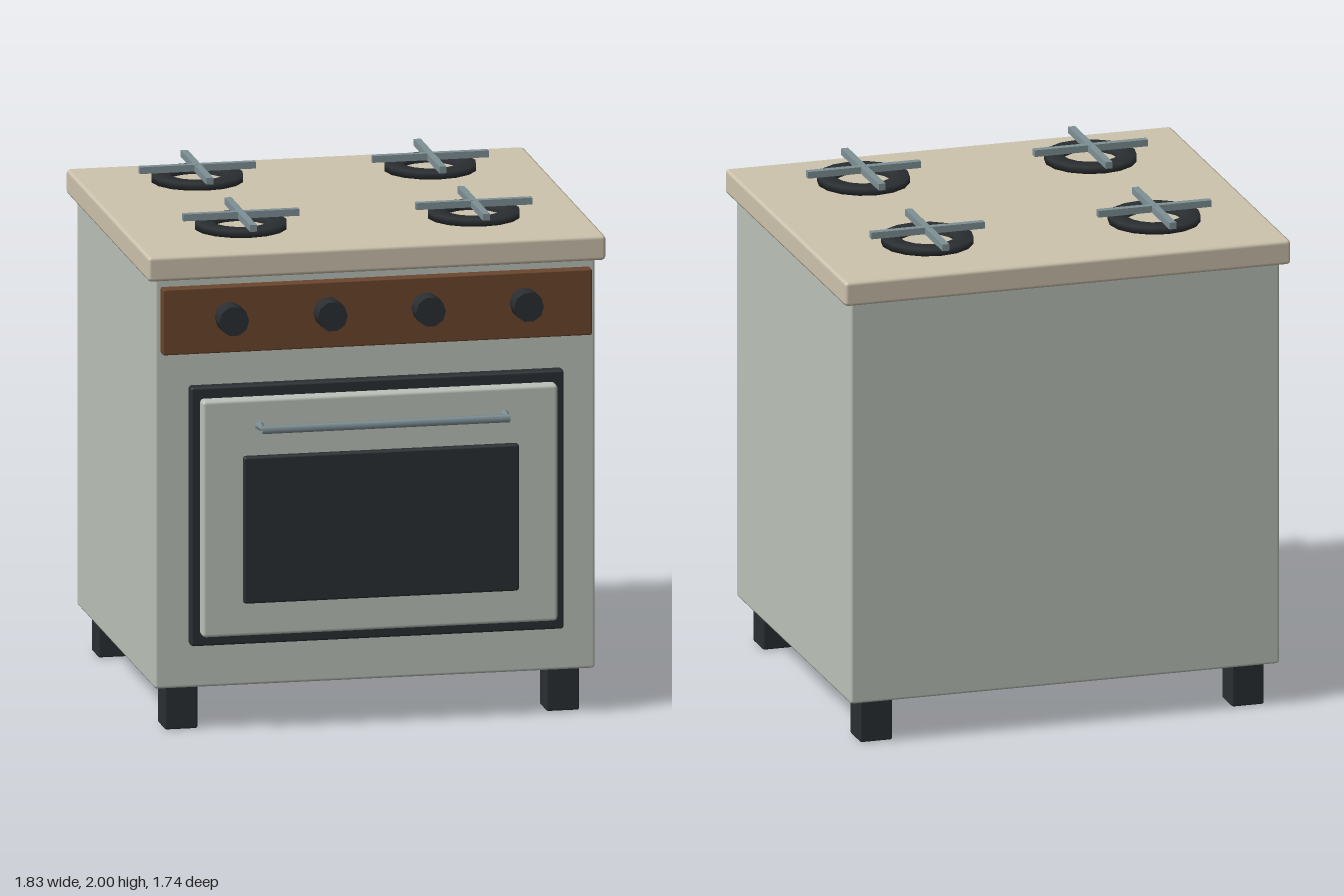
import * as THREE from 'three';
import { RoundedBoxGeometry } from 'three/addons/geometries/RoundedBoxGeometry.js';

const mat = (color) => new THREE.MeshStandardMaterial({ color });

export function createModel() {
  const model = new THREE.Group();
  model.name = 'stove';
  const enamel = mat(0xbcc3ba), cream = mat(0xcec4ae), wood = mat(0x6b452c);
  const dark = mat(0x2b2f32), steel = mat(0x7f9196);

  const add = (name, geometry, material, x = 0, y = 0, z = 0, parent = model) => {
    const mesh = new THREE.Mesh(geometry, material);
    mesh.name = name;
    mesh.position.set(x, y, z);
    parent.add(mesh);
    return mesh;
  };
  // Softly bevelled box given by its limits on each axis
  const block = (name, material, [x0, x1], [y0, y1], [z0, z1], bevel = 0.01) =>
    add(name, new RoundedBoxGeometry(x1 - x0, y1 - y0, z1 - z0, 1, bevel), material,
      (x0 + x1) / 2, (y0 + y1) / 2, (z0 + z1) / 2);

  // Cabinet and worktop
  block('body', enamel, [-0.88, 0.88], [0.175, 1.825], [-0.83, 0.65], 0.012);
  block('cooktop', cream, [-0.915, 0.915], [1.82, 1.92], [-0.87, 0.69], 0.015);

  // Feet
  for (const x of [-0.765, 0.76]) {
    for (const z of [-0.717, 0.54]) {
      block('foot', dark, [x - 0.066, x + 0.066], [0, 0.18], [z - 0.067, z + 0.067], 0.008);
    }
  }

  // Control panel with four knobs
  block('controlPanel', wood, [-0.857, 0.857], [1.525, 1.79], [0.64, 0.698], 0.006);
  const knobGeometry = new THREE.CylinderGeometry(0.06, 0.06, 0.1, 10);
  knobGeometry.rotateY(Math.PI / 2);
  knobGeometry.rotateX(Math.PI / 2);
  for (const x of [-0.592, -0.198, 0.194, 0.586]) {
    add('knob', knobGeometry, dark, x, 1.67, 0.738);
  }

  // Oven door in layers
  block('doorFrame', dark, [-0.745, 0.745], [0.35, 1.39], [0.64, 0.697]);
  block('door', enamel, [-0.71, 0.71], [0.395, 1.345], [0.68, 0.75], 0.014);
  block('window', dark, [-0.55, 0.55], [0.53, 1.12], [0.735, 0.777]);

  // Door handle: bar on two tapered stubs
  const handle = new THREE.Group();
  handle.name = 'handle';
  handle.position.set(0, 1.245, 0);
  model.add(handle);
  const bar = new THREE.CylinderGeometry(0.017, 0.017, 0.99, 6).rotateZ(Math.PI / 2);
  add('handleBar', bar, steel, 0, 0, 0.853, handle);
  const stub = new THREE.CylinderGeometry(0.007, 0.018, 0.075, 6).rotateX(Math.PI / 2);
  for (const x of [-0.49, 0.49]) add('handleStub', stub, steel, x, 0, 0.8145, handle);

  // Burners: flat ring under a crossed grate
  const ring = new THREE.LatheGeometry(
    [[0.11, -0.014], [0.182, -0.014], [0.182, 0.014], [0.11, 0.014], [0.11, -0.014]]
      .map(([r, y]) => new THREE.Vector2(r, y)), 16);
  const grateX = new THREE.BoxGeometry(0.464, 0.027, 0.028);
  const grateZ = new THREE.BoxGeometry(0.028, 0.027, 0.486);
  for (const x of [-0.467, 0.464]) {
    for (const z of [-0.507, 0.317]) {
      const burner = new THREE.Group();
      burner.name = 'burner';
      burner.position.set(x, 0, z);
      model.add(burner);
      add('burnerRing', ring, dark, 0, 1.948, 0, burner);
      add('grateBarAcross', grateX, steel, 0, 1.9865, 0, burner);
      add('grateBarAlong', grateZ, steel, 0, 1.986, 0, burner);
    }
  }
  return model;
}
